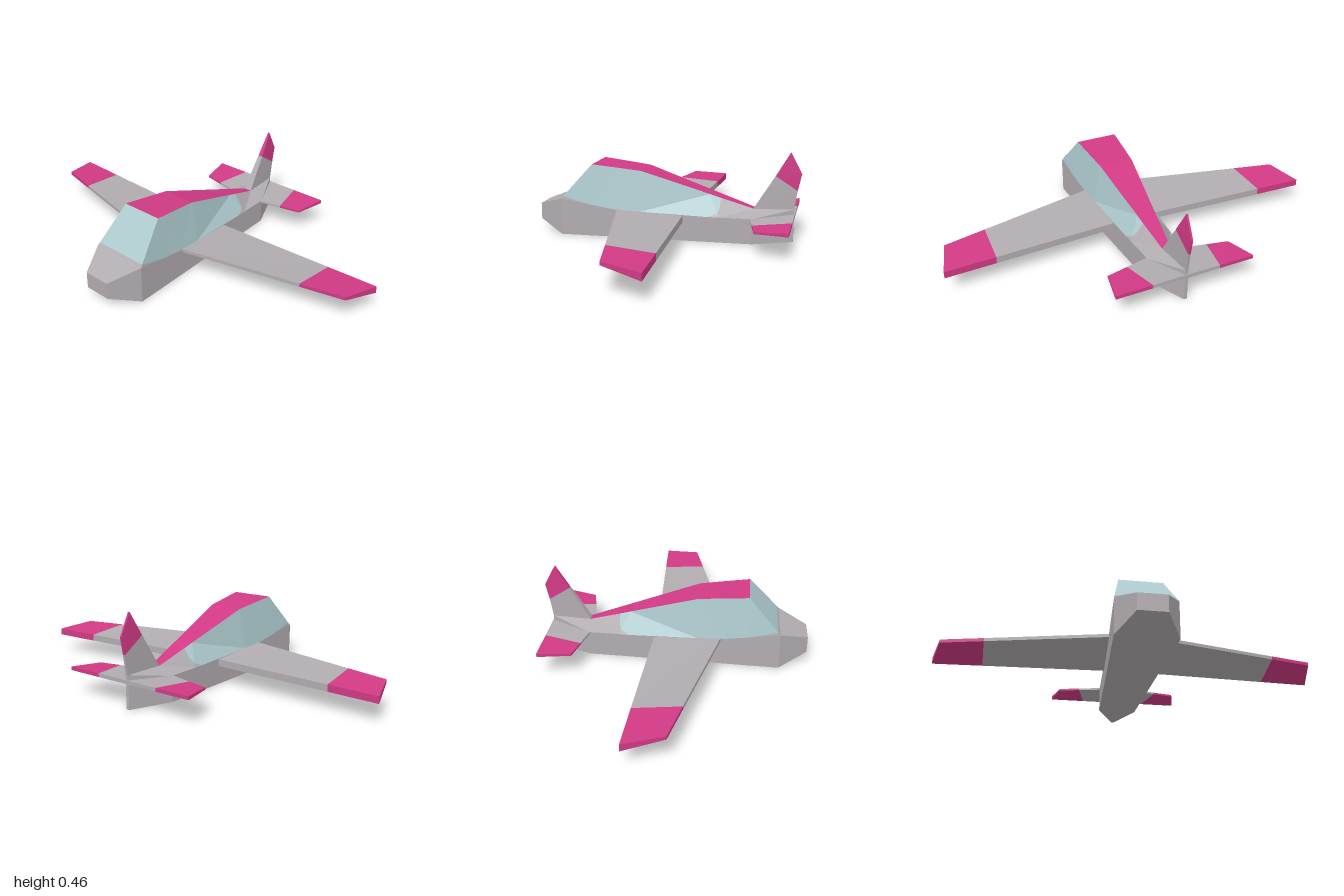
import * as THREE from 'three';

const paint = (name, color) => {
  const m = new THREE.MeshStandardMaterial({ color, flatShading: true });
  m.name = name;
  return m;
};

// Faceted mesh from polygons, each wound to face away from centre(point)
function panels(name, material, polys, centre) {
  const pos = [];
  for (const poly of polys) {
    const p = poly.map(v => new THREE.Vector3(...v));
    for (let i = 1; i < p.length - 1; i++) {
      const tri = new THREE.Triangle(p[0], p[i], p[i + 1]);
      if (tri.getArea() < 1e-8) continue;
      const mid = tri.getMidpoint(new THREE.Vector3());
      const out = mid.clone().sub(centre(mid)).dot(tri.getNormal(new THREE.Vector3())) > 0;
      for (const v of out ? [p[0], p[i], p[i + 1]] : [p[0], p[i + 1], p[i]]) pos.push(v.x, v.y, v.z);
    }
  }
  const g = new THREE.BufferGeometry();
  g.setAttribute('position', new THREE.Float32BufferAttribute(pos, 3));
  g.computeVertexNormals();
  const mesh = new THREE.Mesh(g, material);
  mesh.name = name;
  return mesh;
}

// Solid between two four-cornered sections, closed at the outer end on request
function slab(name, material, a, b, cap) {
  const c = new THREE.Vector3();
  [...a, ...b].forEach(v => c.add(new THREE.Vector3(...v)));
  c.divideScalar(8);
  const polys = a.map((_, i) => {
    const j = (i + 1) % 4;
    return [a[i], a[j], b[j], b[i]];
  });
  if (cap) polys.push(b);
  return panels(name, material, polys, () => c);
}

export function createModel() {
  const grey = paint('bodyGrey', 0xb1acb0);
  const pink = paint('pinkTrim', 0xd13a85);
  const glass = paint('canopyGlass', 0xacc9cd);
  const model = new THREE.Group();
  model.name = 'airplane';

  // Fuselage stations: z, half width, shoulder height, roof height, roof half width
  const stations = [
    [0.54, 0.15, 0.19, 0.19, 0.15],
    [0.38, 0.142, 0.165, 0.372, 0.11],
    [0.25, 0.135, 0.145, 0.359, 0.1],
    [0.12, 0.128, 0.14, 0.345, 0.09],
    [-0.23, 0.111, 0.13, 0.2345, 0.048],
    [-0.285, 0.108, 0.13, 0.217, 0.042],
    [-0.45, 0.1, 0.13, 0.165, 0.022],
    [-0.65, 0.008, 0.125, 0.168, 0.007],
  ];
  const low = (k, s) => [s * stations[k][1], 0, stations[k][0]];
  const shoulder = (k, s) => [s * stations[k][1], stations[k][2], stations[k][0]];
  const top = (k, s) => [s * stations[k][4], stations[k][3], stations[k][0]];
  const mix = (a, b, t) => a.map((v, i) => v + (b[i] - v) * t);
  const nose = (s, y) => [s * 0.07, y, 0.685];
  const sill = s => mix(shoulder(0, s), top(1, s), 0.07);

  const body = [], windows = [], roof = [];
  const last = stations.length - 1;
  // Nose block, tail edge and the strip below the windscreen
  body.push([nose(-1, 0.055), nose(1, 0.055), nose(1, 0.14), nose(-1, 0.14)]);
  body.push([nose(-1, 0.14), nose(1, 0.14), shoulder(0, 1), shoulder(0, -1)]);
  body.push([nose(-1, 0.055), nose(1, 0.055), low(0, 1), low(0, -1)]);
  body.push([low(last, -1), low(last, 1), shoulder(last, 1), top(last, 1), top(last, -1), shoulder(last, -1)]);
  body.push([shoulder(0, -1), shoulder(0, 1), sill(1), sill(-1)]);
  windows.push([sill(-1), sill(1), top(1, 1), top(1, -1)]);

  for (let k = 0; k < last; k++) {
    body.push([low(k, -1), low(k, 1), low(k + 1, 1), low(k + 1, -1)]);
    if (k > 0) (k < 6 ? roof : body).push([top(k, -1), top(k, 1), top(k + 1, 1), top(k + 1, -1)]);
    for (const s of [-1, 1]) {
      body.push([low(k, s), shoulder(k, s), shoulder(k + 1, s), low(k + 1, s)]);
      const side = [shoulder(k, s), top(k, s), top(k + 1, s), shoulder(k + 1, s)];
      if (k === 0) {
        body.push([shoulder(0, s), sill(s), shoulder(1, s)]);
        windows.push([sill(s), top(1, s), shoulder(1, s)]);
      } else if (k === 4) {
        // Rounded rear lower corner of the side window
        const a = mix(side[3], side[1], 0.18);
        const b = mix(side[3], side[2], 0.45);
        windows.push([side[1], side[2], b, a, side[0]]);
        body.push([side[3], side[0], a, b]);
      } else {
        (k < 4 ? windows : body).push(side);
      }
    }
  }
  if (nose(-1, 0.14)) {
    for (const s of [-1, 1]) body.push([nose(s, 0.055), nose(s, 0.14), shoulder(0, s), low(0, s)]);
  }
  const core = p => new THREE.Vector3(0, 0.09, p.z * 0.8);
  model.add(
    panels('fuselage', grey, body, core),
    panels('canopyWindows', glass, windows, core),
    panels('roofStripe', pink, roof, core),
  );

  // Wings and tailplanes: sections list leading x, z and trailing x, z
  const surfaces = [
    ['Wing', [0.147, 0.13, 0.13, 0.095],
      [[0.05, 0.26, 0.05, -0.098], [0.735, 0.1, 0.745, -0.129], [0.95, 0.05, 1, -0.14]]],
    ['Tailplane', [0.13, 0.12, 0.143, 0.125],
      [[0, -0.42, 0, -0.655], [0.215, -0.466, 0.175, -0.655], [0.325, -0.49, 0.36, -0.655]]],
  ];
  for (const [label, [leadTop, leadLow, trailTop, trailLow], cuts] of surfaces) {
    for (const s of [-1, 1]) {
      const [root, mid, tip] = cuts.map(([lx, lz, tx, tz]) => [
        [s * lx, leadTop, lz], [s * tx, trailTop, tz], [s * tx, trailLow, tz], [s * lx, leadLow, lz],
      ]);
      const group = new THREE.Group();
      group.name = (s > 0 ? 'left' : 'right') + label;
      group.add(slab('innerPanel', grey, root, mid, false), slab('tipPanel', pink, mid, tip, true));
      model.add(group);
    }
  }

  // Fin: sections list leading z, y, half thickness and trailing z, y, half thickness
  const [finRoot, finMid, finTip] = [
    [-0.44, 0.15, 0.022, -0.648, 0.15, 0.007],
    [-0.555, 0.337, 0.013, -0.665, 0.265, 0.006],
    [-0.625, 0.457, 0.005, -0.683, 0.35, 0.004],
  ].map(([lz, ly, lw, tz, ty, tw]) => [[-lw, ly, lz], [lw, ly, lz], [tw, ty, tz], [-tw, ty, tz]]);
  const fin = new THREE.Group();
  fin.name = 'fin';
  fin.add(slab('finBase', grey, finRoot, finMid, false), slab('finTip', pink, finMid, finTip, true));
  model.add(fin);

  return model;
}
